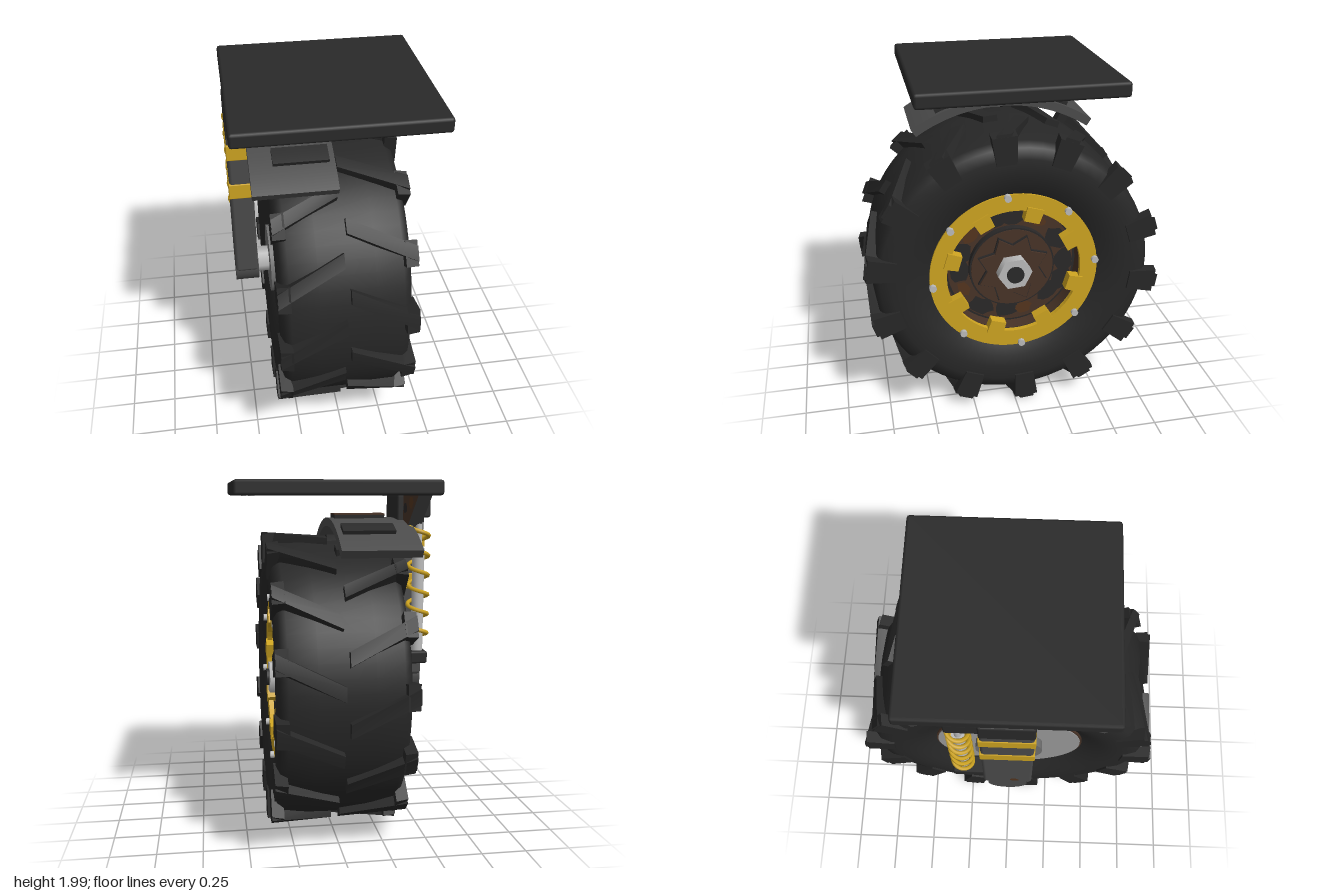
import * as THREE from 'three';
import { mergeGeometries } from 'three/addons/utils/BufferGeometryUtils.js';
import { RoundedBoxGeometry } from 'three/addons/geometries/RoundedBoxGeometry.js';

const mat = (name, color, side = THREE.FrontSide) => {
  const m = new THREE.MeshStandardMaterial({ color, side });
  m.name = name;
  return m;
};
const M = {
  rubber: mat('rubber', 0x272727, THREE.DoubleSide),
  plate: mat('dark steel', 0x2a2a2a),
  grey: mat('grey steel', 0x4b4b4b),
  light: mat('light grey steel', 0x727272),
  pale: mat('pale steel', 0x9c9c9c),
  silver: mat('silver', 0xbcbcbc),
  yellow: mat('yellow paint', 0xcea421),
  rust: mat('rust brown', 0x483327, THREE.DoubleSide),
  darkRust: mat('dark rust', 0x2a2828),
  brightRust: mat('bright rust', 0x54351e),
};
const HUB = 0.86; // wheel axle height

let seed = 7;
const rnd = () => (seed = (seed * 16807) % 2147483647) / 2147483647;

function add(parent, name, geo, material, x = 0, y = 0, z = 0) {
  const m = new THREE.Mesh(geo, material);
  m.name = name;
  m.position.set(x, y, z);
  parent.add(m);
  return m;
}

// box given by its extents
function box(parent, name, material, [x0, x1], [y0, y1], [z0, z1], bevel = 0.012) {
  return add(parent, name, new RoundedBoxGeometry(x1 - x0, y1 - y0, z1 - z0, 1, bevel), material,
    (x0 + x1) / 2, (y0 + y1) / 2, (z0 + z1) / 2);
}

// cylinder lying along x
function disc(parent, name, material, r, x0, x1, y = 0, z = 0, sides = 48) {
  const m = add(parent, name, new THREE.CylinderGeometry(r, r, x1 - x0, sides), material, (x0 + x1) / 2, y, z);
  m.rotation.z = -Math.PI / 2;
  return m;
}

// outline drawn facing +x (shape x is -z), extruded from x0 to x1
function slab(parent, name, material, shape, x0, x1, turn = 0) {
  const geo = new THREE.ExtrudeGeometry(shape, { depth: x1 - x0, bevelEnabled: false, curveSegments: 32 });
  const m = add(parent, name, geo, material, x0);
  m.rotation.set(0, Math.PI / 2, turn);
  return m;
}

const polygon = (pts) => new THREE.Shape(pts.map(([x, y]) => new THREE.Vector2(x, y)));

// irregular paint-wear patch
function blob(w, h) {
  const pts = [];
  for (let i = 0; i < 11; i++) {
    const a = (i / 11) * Math.PI * 2, k = 0.7 + 0.3 * rnd();
    pts.push([Math.cos(a) * w * k, Math.sin(a) * h * k]);
  }
  return new THREE.ShapeGeometry(polygon(pts));
}

// box bent around the wheel: u runs from tread centre to edge, v is tangential, t radial
function bentBox(side, angle, rule) {
  const g = new THREE.BoxGeometry(1, 1, 1);
  const p = g.attributes.position;
  for (let i = 0; i < p.count; i++) {
    const u = side * p.getX(i) + 0.5;
    const [x, shift, r] = rule(u, p.getY(i), p.getZ(i) + 0.5);
    const a = angle + shift;
    p.setXYZ(i, side * x, r * Math.sin(a), r * Math.cos(a));
  }
  g.computeVertexNormals();
  return g;
}

function buildTire(wheel) {
  const half = [[0.42, 0.27], [0.48, 0.305], [0.55, 0.338], [0.62, 0.354], [0.7, 0.356], [0.76, 0.338], [0.79, 0.3], [0.8, 0.15]];
  const profile = [...half.map(([r, x]) => [r, -x]), ...half.slice().reverse()];
  const tire = add(wheel, 'tire', new THREE.LatheGeometry(profile.map(([r, x]) => new THREE.Vector2(r, x)), 64), M.rubber);
  tire.rotation.z = -Math.PI / 2;

  // slanted tread bars with shoulder blocks, staggered left and right
  const bars = [], shoulders = [];
  for (const [side, start] of [[1, 0.244], [-1, 0.03]]) {
    for (let i = 0; i < 14; i++) {
      const a = start + (i / 14) * Math.PI * 2;
      bars.push(bentBox(side, a, (u, v, t) =>
        [0.012 + 0.355 * u, (0.5 - u) * 0.21 + v * (0.11 - 0.015 * t), 0.77 + t * (0.066 + 0.017 * u)]));
      shoulders.push(bentBox(side, a - 0.1, (u, v, t) =>
        [0.3 + 0.068 * u, v * 0.165, 0.68 + t * (0.17 - 0.012 * u)]));
    }
  }
  add(wheel, 'treadBars', mergeGeometries(bars), M.rubber);
  add(wheel, 'shoulderBlocks', mergeGeometries(shoulders), M.rubber);
}

function buildRim(wheel) {
  // outer face: yellow ring, bolts and clamps
  const ring = new THREE.Shape().absarc(0, 0, 0.487, 0, Math.PI * 2);
  ring.holes.push(new THREE.Path().absarc(0, 0, 0.388, 0, Math.PI * 2, true));
  slab(wheel, 'rimRing', M.yellow, ring, 0.29, 0.32);
  const tab = polygon([[0.325, -0.045], [0.41, -0.05], [0.41, 0.05], [0.325, 0.045]]);
  for (let i = 0; i < 8; i++) {
    const a = (i / 8) * Math.PI * 2;
    slab(wheel, 'rimClamp', M.yellow, tab, 0.27, 0.33, a + 1.28);
    const b = a + 0.09;
    disc(wheel, 'rimBolt', M.silver, 0.021, 0.31, 0.342, 0.472 * Math.sin(b), -0.472 * Math.cos(b), 8);
  }

  // recessed dish
  const barrel = add(wheel, 'rimBarrel', new THREE.CylinderGeometry(0.392, 0.388, 0.5, 48, 1, true), M.rust, 0.03);
  barrel.rotation.z = -Math.PI / 2;
  disc(wheel, 'rimDishEdge', M.darkRust, 0.388, 0.17, 0.2);
  disc(wheel, 'rimDish', M.rust, 0.372, 0.18, 0.21);
  for (let i = 0; i < 14; i++) {
    const a = (i / 14) * Math.PI * 2 + rnd() * 0.2, dark = i % 3 < 2;
    const r = dark ? 0.29 + 0.03 * rnd() : 0.31;
    const patch = add(wheel, 'dishPatch', dark ? blob(0.065, 0.09) : blob(0.04, 0.06),
      dark ? M.darkRust : M.brightRust, dark ? 0.213 : 0.215, r * Math.sin(a), -r * Math.cos(a));
    patch.rotation.set(0, Math.PI / 2, a);
  }

  // hub with star plate and nut
  disc(wheel, 'hubRing', M.darkRust, 0.25, 0.2, 0.25);
  disc(wheel, 'hubFace', M.rust, 0.24, 0.24, 0.255);
  const star = (tip, notch) => polygon(Array.from({ length: 16 }, (_, i) => {
    const a = (i / 16) * Math.PI * 2 + Math.PI / 8, r = i % 2 ? notch : tip;
    return [r * Math.cos(a), r * Math.sin(a)];
  }));
  slab(wheel, 'hubStarEdge', M.darkRust, star(0.22, 0.155), 0.25, 0.27);
  slab(wheel, 'hubStar', M.rust, star(0.21, 0.148), 0.25, 0.28);
  disc(wheel, 'hubNut', M.silver, 0.1, 0.27, 0.34, 0, 0, 6).rotation.x = 0.08;
  disc(wheel, 'axleEnd', M.plate, 0.05, 0.3, 0.355, 0, 0, 16);

  // inner face
  disc(wheel, 'rimBackEdge', M.rust, 0.435, -0.292, -0.265);
  disc(wheel, 'rimBack', M.pale, 0.425, -0.298, -0.27);
  disc(wheel, 'backHub', M.light, 0.2, -0.35, -0.28, 0, 0, 32);
  disc(wheel, 'backNut', M.silver, 0.075, -0.43, -0.34, 0, 0, 6);
}

function buildArm(root) {
  box(root, 'supportArm', M.grey, [-0.55, -0.42], [0.88, 1.93], [-0.14, 0.14], 0.018);
  box(root, 'armMount', M.plate, [-0.551, -0.39], [1.76, 1.925], [-0.142, 0.142]);
  disc(root, 'armFoot', M.grey, 0.113, -0.55, -0.415, HUB, 0, 32);
  for (const y of [1.435, 1.675])
    box(root, 'armBand', M.yellow, [-0.555, -0.415], [y - 0.045, y + 0.045], [-0.146, 0.146], 0.005);
  add(root, 'armPatch', blob(0.03, 0.03), M.brightRust, -0.552, 0.95, 0.04).rotation.y = -Math.PI / 2;
  slab(root, 'armGusset', [M.rust, M.grey], polygon([[0.13, 1.925], [0.48, 1.925], [0.13, 1.66]]), -0.5, -0.425);
  for (const [z, y, m] of [[-0.2, 1.85, M.darkRust], [-0.33, 1.88, M.brightRust]])
    add(root, 'gussetPatch', blob(0.05, 0.035), m, -0.422, y, z).rotation.y = Math.PI / 2;

  // shock absorber behind the arm
  const x = -0.49, z = -0.25;
  box(root, 'shockUpperMount', M.plate, [x - 0.05, x + 0.05], [1.8, 1.92], [-0.31, -0.13]);
  box(root, 'shockLowerMount', M.plate, [x - 0.05, x + 0.05], [0.98, 1.05], [-0.31, -0.13]);
  add(root, 'shockRod', new THREE.CylinderGeometry(0.02, 0.02, 0.8, 12), M.silver, x, 1.42, z);
  add(root, 'shockBody', new THREE.CylinderGeometry(0.034, 0.034, 0.6, 16), M.silver, x, 1.33, z);
  const coil = [];
  for (let i = 0; i <= 84; i++) {
    const a = (i / 14) * Math.PI * 2;
    coil.push(new THREE.Vector3(x + 0.056 * Math.cos(a), 1.09 + 0.66 * i / 84, z + 0.056 * Math.sin(a)));
  }
  add(root, 'shockSpring', new THREE.TubeGeometry(new THREE.CatmullRomCurve3(coil), 168, 0.012, 6), M.yellow);
}

// curved plate around the wheel, angles measured from the top
function arcPlate(parent, name, material, r0, r1, mid, half, x0, x1) {
  const a0 = Math.PI / 2 + mid - half, a1 = Math.PI / 2 + mid + half;
  const s = new THREE.Shape().absarc(0, 0, r1, a0, a1, false);
  s.absarc(0, 0, r0, a1, a0, true);
  slab(parent, name, material, s, x0, x1).position.y = HUB;
}

function buildFender(root) {
  arcPlate(root, 'fender', M.grey, 0.885, 0.934, 0, 0.59, -0.45, -0.01);
  for (const a of [-0.36, 0.36]) arcPlate(root, 'fenderPad', M.plate, 0.92, 0.955, a, 0.055, -0.33, -0.04);
  arcPlate(root, 'fenderTopPad', M.plate, 0.92, 0.952, 0, 0.08, -0.33, -0.04);
  arcPlate(root, 'fenderTopWear', M.rust, 0.952, 0.96, 0, 0.08, -0.33, -0.04);
}

function buildPlate(root) {
  box(root, 'topPlate', M.plate, [-0.547, 0.547], [1.92, 2], [-0.547, 0.547], 0.016);
  for (const x of [-0.45, 0.45]) for (const z of [-0.45, 0.45])
    add(root, 'plateBolt', new THREE.CylinderGeometry(0.016, 0.016, 0.02, 8), M.silver, x, 1.926, z);
  // worn patches on the underside
  for (const [x, z, w, m] of [[-0.2, -0.2, 0.22, M.rust], [-0.12, -0.34, 0.09, M.brightRust], [-0.32, -0.36, 0.1, M.brightRust]])
    add(root, 'platePatch', blob(w, w * 0.8), m, x, 1.917 - 0.002 * (w < 0.15), z).rotation.x = Math.PI / 2;
}

export function createModel() {
  seed = 7;
  const root = new THREE.Group();
  root.name = 'wheelAssembly';
  const wheel = new THREE.Group();
  wheel.name = 'wheel';
  wheel.position.y = HUB;
  root.add(wheel);
  buildTire(wheel);
  buildRim(wheel);
  buildArm(root);
  buildFender(root);
  buildPlate(root);
  return root;
}
